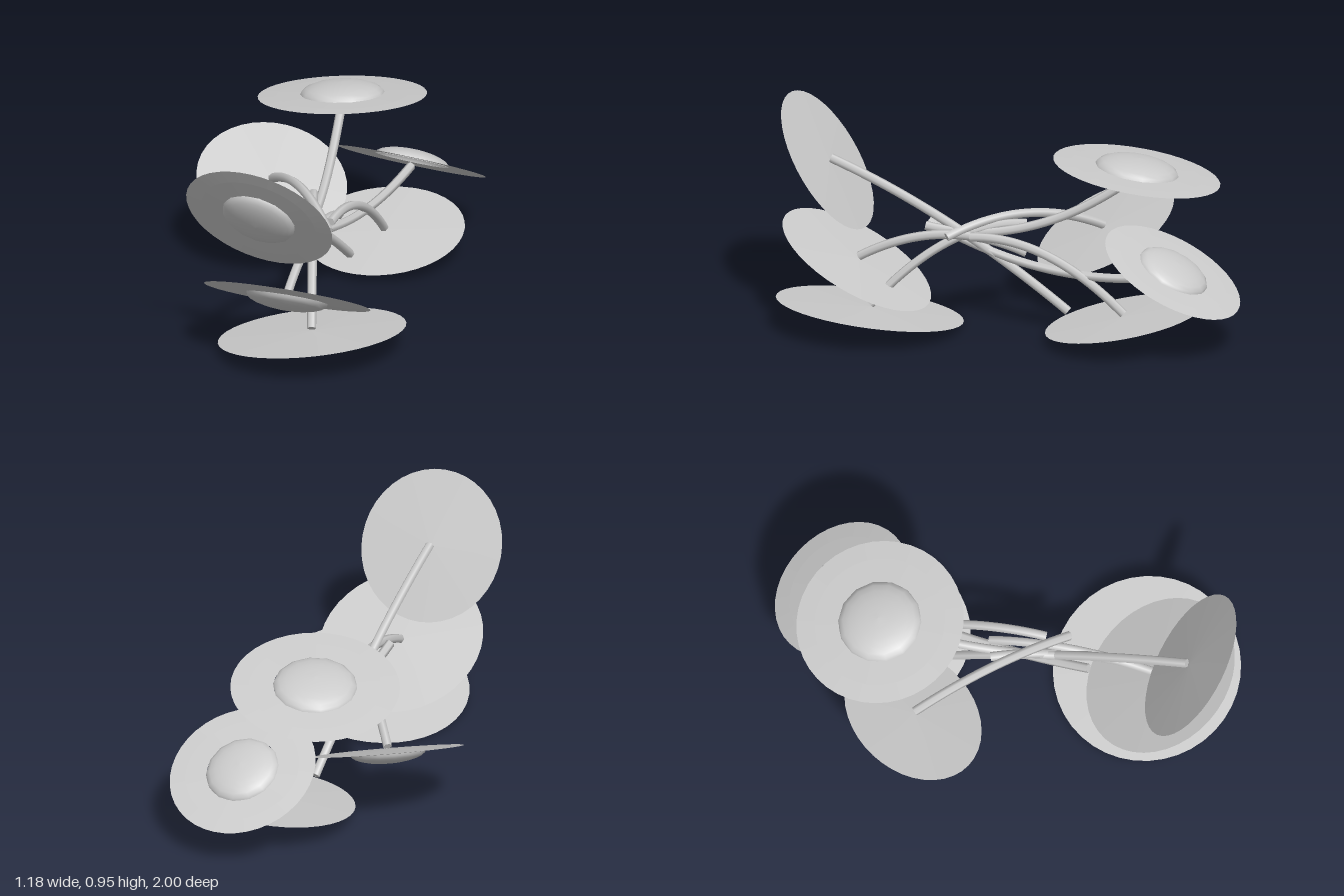
import * as THREE from 'three';

const material = new THREE.MeshStandardMaterial({ color: 0xcccccc, side: THREE.DoubleSide });

function lathe(name, points, sides) {
  const profile = points.map(([r, y]) => new THREE.Vector2(r, y));
  const mesh = new THREE.Mesh(new THREE.LatheGeometry(profile, sides), material);
  mesh.name = name;
  return mesh;
}

// Wide brim with a shallow dome on its facing side; hanging heads have a closed back
function makeHead(center, facing, R, hanging) {
  const head = new THREE.Group();
  head.name = 'flowerHead';
  head.add(lathe('outerBrim', [[R, 0], [R * 0.78, R * 0.012]], 40));
  head.add(lathe('innerBrim', [[R * 0.78, R * 0.012], [R * 0.49, R * 0.02]], 40));

  const dome = [];
  for (let i = 0; i <= 6; i++) {
    const a = (i / 6) * Math.PI / 2;
    dome.push([R * 0.5 * Math.cos(a), R * (0.015 + 0.15 * Math.sin(a))]);
  }
  head.add(lathe('dome', dome, 14));
  if (hanging) head.add(lathe('backPlate', [[0, -R * 0.025], [R, 0]], 40));

  head.position.copy(center);
  head.quaternion.setFromUnitVectors(new THREE.Vector3(0, 1, 0), facing);
  return head;
}

// Thin stalk with flat ends, straight in plan and bowed up or down at its middle
function makeStem(start, end, bow) {
  const control = start.clone().lerp(end, 0.5);
  control.y += 2 * bow;
  const path = new THREE.QuadraticBezierCurve3(start, control, end);
  const stem = new THREE.Group();
  stem.name = 'stem';
  const stalk = new THREE.Mesh(new THREE.TubeGeometry(path, 24, 0.02, 6), material);
  stalk.name = 'stalk';
  stem.add(stalk);
  for (const t of [0, 1]) {
    const cap = new THREE.Mesh(new THREE.CircleGeometry(0.019, 6), material);
    cap.name = 'stemEnd';
    cap.position.copy(path.getPoint(t));
    cap.quaternion.setFromUnitVectors(new THREE.Vector3(0, 0, 1), path.getTangent(t));
    stem.add(cap);
  }
  return stem;
}

// tilt holds the x and z lean of the unit facing direction; tail is the free stem end
const flowers = [
  { name: 'tallFrontFlower', center: [-0.095, 0.675, 0.8], tilt: [-0.17, 0.82], radius: 0.33, hanging: true, tail: [0.09, 0.09, -0.25], bow: 0.05 },
  { name: 'middleFrontFlower', center: [0, 0.262, 0.665], tilt: [-0.07, 0.48], radius: 0.36, hanging: true, tail: [0.08, 0.345, -0.07], bow: 0.09 },
  { name: 'lowFrontFlower', center: [0.095, 0.075, 0.6], tilt: [0.13, 0.12], radius: 0.405, hanging: true, tail: [-0.03, 0.44, -0.06], bow: 0.1 },
  { name: 'tallBackFlower', center: [0, 0.7, -0.535], tilt: [-0.06, -0.16], radius: 0.362, hanging: false, tail: [0.01, 0.43, 0.37], bow: -0.115 },
  { name: 'sideBackFlower', center: [0.267, 0.34, -0.715], tilt: [0.12, -0.46], radius: 0.322, hanging: false, tail: [-0.05, 0.43, 0.36], bow: -0.095 },
  { name: 'lowBackFlower', center: [0.19, 0.1, -0.5], tilt: [0.05, -0.19], radius: 0.345, hanging: true, tail: [0.09, 0.41, 0.17], bow: 0.09 },
  { name: 'rightBackFlower', center: [-0.275, 0.345, -0.375], tilt: [-0.22, -0.42], radius: 0.325, hanging: true, tail: [0.1, 0.41, 0.27], bow: 0.08 },
];

export function createModel() {
  const model = new THREE.Group();
  model.name = 'flowerBunch';
  for (const { name, center, tilt: [nx, nz], radius, hanging, tail, bow } of flowers) {
    const ny = Math.sqrt(1 - nx * nx - nz * nz);
    const facing = new THREE.Vector3(nx, hanging ? -ny : ny, nz);
    const middle = new THREE.Vector3(...center);
    const root = middle.clone().addScaledVector(facing, -0.02);
    const flower = new THREE.Group();
    flower.name = name;
    flower.add(makeHead(middle, facing, radius, hanging));
    flower.add(makeStem(root, new THREE.Vector3(...tail), bow));
    model.add(flower);
  }
  return model;
}
